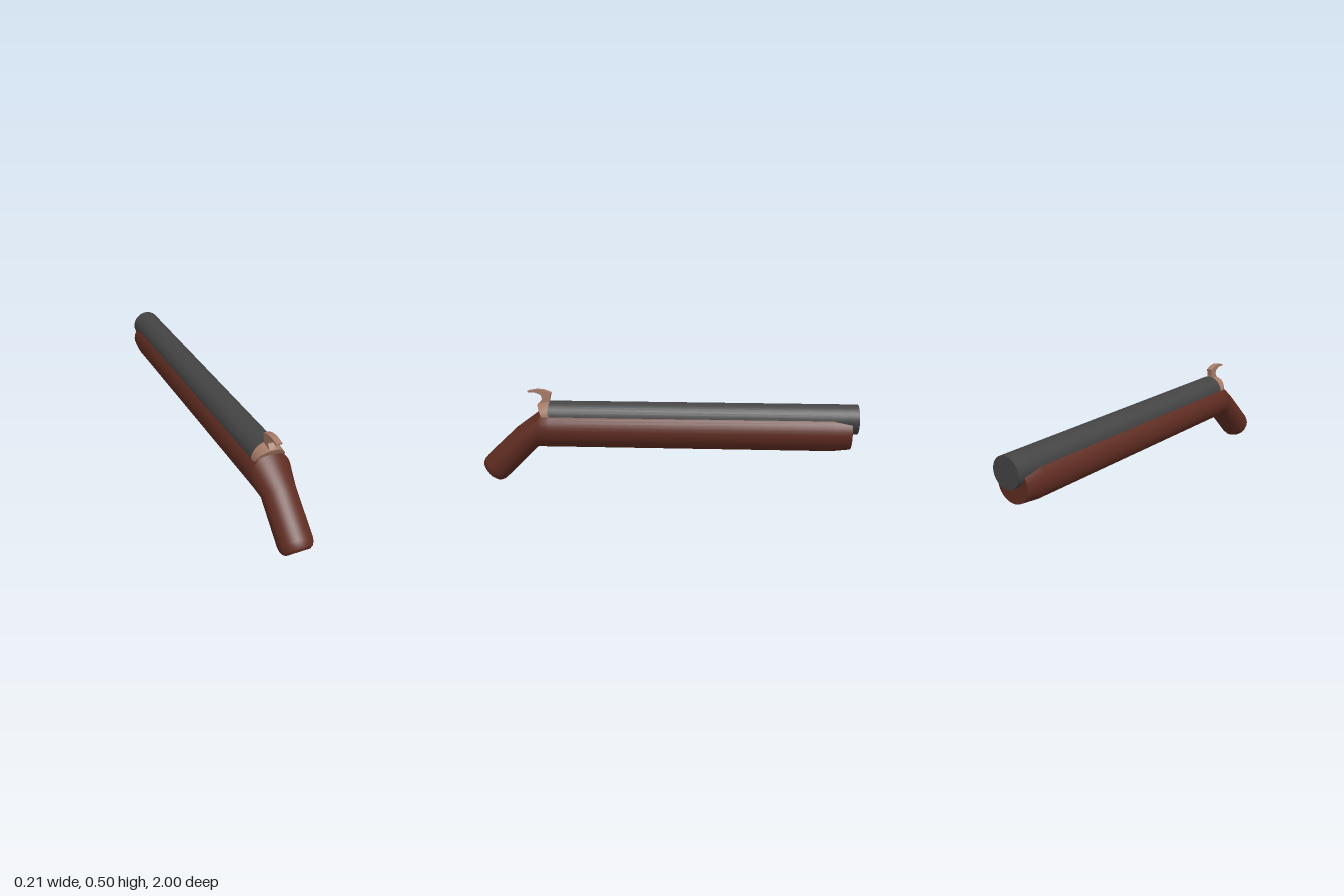
import * as THREE from 'three';
import { toCreasedNormals } from 'three/addons/utils/BufferGeometryUtils.js';

const SIDES = 32;

// Closed loft along z; each ring is [z, y, half width, [z, y] of its upward half axis]
function loft(rings, crease = 0.5) {
  const pos = [], idx = [];
  for (const [z, y, w, [vz, vy]] of rings) {
    for (let j = 0; j < SIDES; j++) {
      const t = (j / SIDES) * Math.PI * 2, s = Math.sin(t);
      pos.push(w * Math.cos(t), y + vy * s, z + vz * s);
    }
  }
  const last = rings.length - 1;
  for (let i = 0; i < last; i++) {
    for (let j = 0; j < SIDES; j++) {
      const k = (j + 1) % SIDES;
      const a = i * SIDES + j, b = i * SIDES + k;
      idx.push(a, b, a + SIDES, b, b + SIDES, a + SIDES);
    }
  }
  // Flat end caps
  const first = pos.length / 3;
  for (const i of [0, last]) pos.push(0, rings[i][1], rings[i][0]);
  for (let j = 0; j < SIDES; j++) {
    const k = (j + 1) % SIDES;
    idx.push(first, k, j, first + 1, last * SIDES + j, last * SIDES + k);
  }
  const geo = new THREE.BufferGeometry();
  geo.setAttribute('position', new THREE.Float32BufferAttribute(pos, 3));
  geo.setIndex(idx);
  return toCreasedNormals(geo, crease);
}

function material(name, color) {
  const m = new THREE.MeshStandardMaterial({ color });
  m.name = name;
  return m;
}

export function createModel() {
  const wood = material('dark red wood', 0x602d22);
  const steel = material('dark steel', 0x444444);
  const copper = material('copper', 0xa67c68);
  const group = new THREE.Group();
  const add = (name, geo, mat) => {
    const mesh = new THREE.Mesh(geo, mat);
    mesh.name = name;
    group.add(mesh);
    return mesh;
  };

  // Stock: tapered nose, straight fore-end, bend and angled grip
  const grip = (s, w, r) => [0.72 * s + 0.482, 0.5 - 0.69 * s, w, [0.69 * r, 0.72 * r]];
  add('stock', loft([
    [-0.965, 0.297, 0.093, [0, 0.092]],
    [-0.87, 0.3, 0.105, [0, 0.105]],
    [0.62, 0.3, 0.105, [0, 0.105]],
    [0.673, 0.299, 0.105, [-0.013, 0.104]],
    grip(0.371, 0.085, 0.077),
    grip(0.61, 0.085, 0.08),
    grip(0.632, 0.081, 0.078),
    grip(0.648, 0.072, 0.07),
    grip(0.657, 0.056, 0.054),
  ]), wood);

  // Barrel resting in the stock
  const barrel = new THREE.CylinderGeometry(0.079, 0.079, 1.62, SIDES);
  barrel.rotateX(Math.PI / 2);
  add('barrel', barrel, steel).position.set(0, 0.364, -0.19);

  // Breech cap with a slanted, undercut rear face
  add('breechCap', loft([
    [0.615, 0.364, 0.079, [0, 0.079]],
    [0.65, 0.364, 0.079, [0.035, 0.066]],
  ]), copper);

  // Hooked hammer, drawn in side profile as [z, y]
  const profile = [
    [0.62, 0.42], [0.622, 0.45], [0.613, 0.488], [0.65, 0.502], [0.69, 0.506],
    [0.738, 0.497], [0.735, 0.49], [0.7, 0.489], [0.668, 0.477], [0.66, 0.455], [0.682, 0.425],
  ];
  const shape = new THREE.Shape(profile.map(([z, y]) => new THREE.Vector2(-z, y)));
  const hammer = new THREE.ExtrudeGeometry(shape, { depth: 0.03, bevelEnabled: false });
  hammer.translate(0, 0, -0.015);
  hammer.rotateY(Math.PI / 2);
  add('hammer', hammer, copper);

  return group;
}
